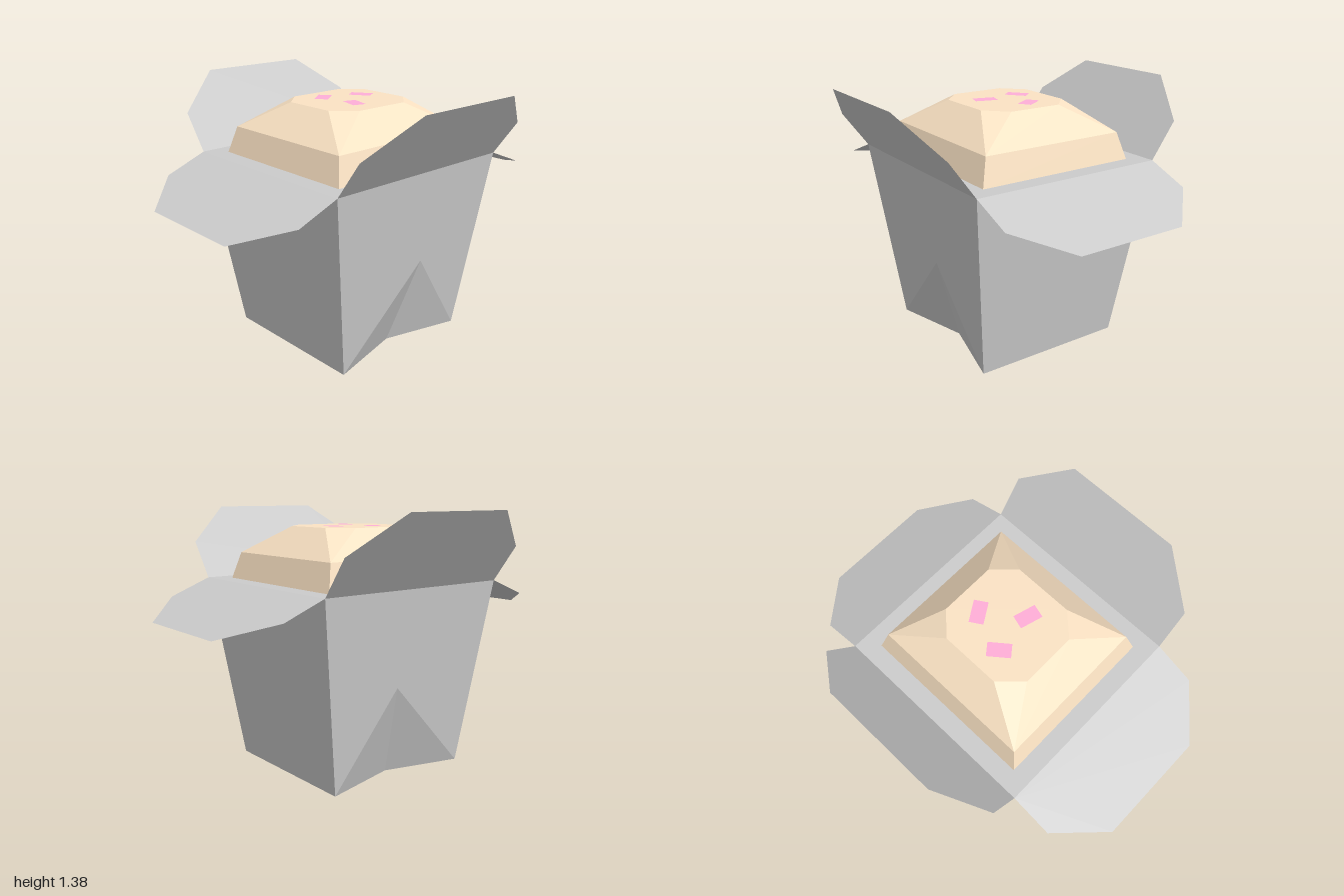
import * as THREE from 'three';

const grey = () => new THREE.MeshStandardMaterial({ color: 0xcccccc, flatShading: true });

// Flat-shaded mesh from convex polygons, corners counter-clockwise seen from outside
function polyMesh(name, polygons, material) {
  const pos = [];
  for (const p of polygons) {
    for (let i = 1; i < p.length - 1; i++) pos.push(...p[0], ...p[i], ...p[i + 1]);
  }
  const geo = new THREE.BufferGeometry();
  geo.setAttribute('position', new THREE.Float32BufferAttribute(pos, 3));
  geo.computeVertexNormals();
  const mesh = new THREE.Mesh(geo, material);
  mesh.name = name;
  return mesh;
}

// Mirror polygons across x or z, flipping the winding
const mirror = (polys, axis) =>
  polys.map(p => p.map(v => v.map((c, i) => (i === axis ? -c : c))).reverse());

const B = 0.42, TX = 0.535, TZ = 0.56, H = 1;   // carton half sizes and height

function makeCarton() {
  const apex = [0.477, 0.5, -0.07], notch = [0.31, 0, 0];
  const b0 = [B, 0, B], b1 = [B, 0, -B], t0 = [TX, H, TZ], t1 = [TX, H, -TZ];
  // Side wall with its inward fold
  const side = [
    [b0, apex, t0], [apex, t1, t0], [b1, t1, apex],
    [b0, notch, apex], [notch, b1, apex],
  ];
  const front = [[[-B, 0, B], b0, t0, [-TX, H, TZ]]];
  const top = [[[-TX, H, TZ], t0, t1, [-TX, H, -TZ]]];
  // Base follows the two notches
  const base = [
    [[-B, 0, B], [-0.31, 0, 0], notch, b0],
    [[-0.31, 0, 0], [-B, 0, -B], b1, notch],
  ];
  return polyMesh('carton',
    [...side, ...mirror(side, 0), ...front, ...mirror(front, 2), ...top, ...base], grey());
}

// Open lid flaps: front and back droop, left and right stand up
function makeFlaps() {
  const group = new THREE.Group();
  group.name = 'flaps';
  const material = grey();
  material.side = THREE.DoubleSide;
  const front = [[
    [-TX, H, TZ], [-TX, 0.913, 0.78], [-0.3, 0.827, 1],
    [0.3, 0.827, 1], [TX, 0.913, 0.78], [TX, H, TZ],
  ]];
  const left = [[
    [TX, H, TZ], [0.673, 1.188, TZ], [0.812, 1.377, 0.312],
    [0.812, 1.377, -0.312], [0.673, 1.188, -TZ], [TX, H, -TZ],
  ]];
  group.add(
    polyMesh('frontFlap', front, material),
    polyMesh('backFlap', mirror(front, 2), material),
    polyMesh('leftFlap', left, material),
    polyMesh('rightFlap', mirror(left, 0), material));
  return group;
}

// Faceted filling: three stacked rings, eight corners each (square rings have doubled corners)
function makeFilling() {
  const ring = (x, z, cx, cz, y) => [
    [x, y, cz], [x, y, -cz], [cx, y, -z], [-cx, y, -z],
    [-x, y, -cz], [-x, y, cz], [-cx, y, z], [cx, y, z],
  ];
  const rings = [
    ring(0.44, 0.465, 0.44, 0.465, 1),
    ring(0.4, 0.427, 0.4, 0.427, 1.14),
    ring(0.25, 0.265, 0.145, 0.155, 1.285),
  ];
  const polys = [rings[2]];
  for (let r = 0; r < 2; r++) {
    for (let i = 0; i < 8; i++) {
      const j = (i + 1) % 8, a = rings[r], b = rings[r + 1];
      if (i % 2 === 0) polys.push([a[i], a[j], b[j], b[i]]);    // sides
      else if (r === 1) polys.push([a[i], b[j], b[i]]);         // corner facets
    }
  }
  return polyMesh('filling', polys,
    new THREE.MeshStandardMaterial({ color: 0xfbe3c4, flatShading: true }));
}

// Flat pink pieces on top of the filling
function makeToppings() {
  const group = new THREE.Group();
  group.name = 'toppings';
  const geo = new THREE.PlaneGeometry(0.118, 0.072).rotateX(-Math.PI / 2);
  const material = new THREE.MeshStandardMaterial({ color: 0xffaed8, side: THREE.DoubleSide });
  for (const [x, z, turn] of [[-0.05, -0.14, 0.56], [-0.122, 0.065, -0.9], [0.095, 0.045, -0.28]]) {
    const piece = new THREE.Mesh(geo, material);
    piece.name = 'toppingPiece';
    piece.position.set(x, 1.288, z);
    piece.rotation.y = turn;
    group.add(piece);
  }
  return group;
}

export function createModel() {
  const model = new THREE.Group();
  model.name = 'takeawayBox';
  model.add(makeCarton(), makeFlaps(), makeFilling(), makeToppings());
  return model;
}
